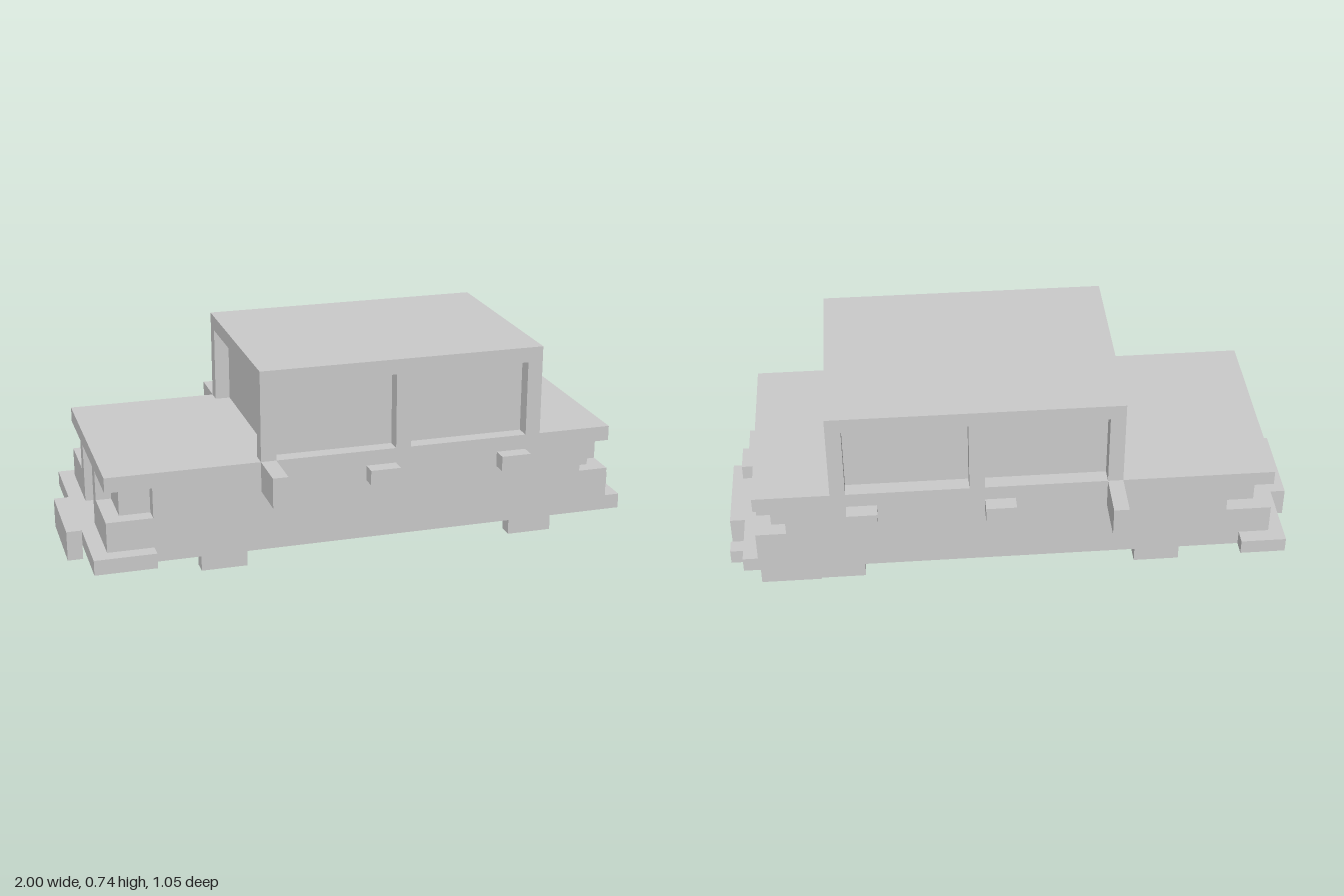
import * as THREE from 'three';

const U = 2 / 38; // one block unit

export function createModel() {
  const model = new THREE.Group();
  model.name = 'blockCar';
  const material = new THREE.MeshStandardMaterial({ color: 0xcccccc, flatShading: true });

  const add = (name, geometry) => {
    const mesh = new THREE.Mesh(geometry, material);
    mesh.name = name;
    model.add(mesh);
    return mesh;
  };

  // Box given by its limits in block units
  const box = (name, x0, x1, y0, y1, z0, z1) => {
    const g = new THREE.BoxGeometry((x1 - x0) * U, (y1 - y0) * U, (z1 - z0) * U);
    g.translate((x0 + x1) / 2 * U, (y0 + y1) / 2 * U, (z0 + z1) / 2 * U);
    return add(name, g);
  };

  // Same box on both sides of the car
  const pair = (name, x0, x1, y0, y1, z0, z1) => {
    box(name + 'Left', x0, x1, y0, y1, z0, z1);
    box(name + 'Right', x0, x1, y0, y1, -z1, -z0);
  };

  // Layer with a plan outline (x, z) mirrored across z = 0
  const layer = (name, half, y0, y1) => {
    const other = half.map(([x, z]) => [x, -z]).reverse();
    const points = [...half, ...other].map(([x, z]) => new THREE.Vector2(x * U, z * U));
    const g = new THREE.ExtrudeGeometry(new THREE.Shape(points), { depth: (y1 - y0) * U, bevelEnabled: false });
    g.rotateX(Math.PI / 2);
    g.translate(0, y1 * U, 0);
    return add(name, g);
  };

  // Body: floor, grille layer, lamp layer with corner notches, top deck
  box('bodyFloor', -17, 17, 2, 3, -7, 7);
  layer('lowerBody', [[-16, 2], [-17, 2], [-17, 7], [17, 7]], 3, 5);
  layer('lampBody', [
    [-16, 2], [-17, 2], [-17, 3], [-14, 3], [-14, 7],
    [15, 7], [15, 5], [17, 5], [17, 4], [16, 4], [16, 3], [17, 3],
  ], 5, 7);
  box('bodyDeck', -17, 17, 7, 8, -7, 7);

  // Lamps set back inside the notches
  pair('headlamp', -16, -14, 5, 7, 3, 6);
  pair('tailLamp', 15, 16, 5, 7, 5, 6);

  // Cabin: recessed glass, pillars and roof
  box('cabinGlass', -6, 11, 8, 13, -6, 6);
  for (const [x0, x1] of [[-7, -6], [2, 3], [11, 12]]) pair('pillar', x0, x1, 8, 13, 6, 7);
  box('roof', -7, 12, 13, 14, -7, 7);

  // Mirrors and door handles
  pair('mirror', -7, -6, 6, 8, 7, 10);
  for (const x of [0, 9]) pair('doorHandle', x, x + 2, 6, 7, 7, 8);

  // Bumpers, the front one wrapping around the sides
  box('frontBumper', -18, -17, 2, 3, -8, 8);
  box('bumperWrapLeft', -17, -14, 2, 3, 7, 8);
  box('bumperWrapRight', -17, -15, 2, 3, -8, -7);
  box('frontBumperCentre', -19, -18, 1, 3, -3, 3);
  box('rearBumper', 17, 18, 2, 3, -7, 7);
  box('rearBumperCentre', 18, 19, 1, 3, -3, 3);
  box('rearPlate', 17, 18, 5, 6, -1, 1);

  // Axles with hub blocks at both ends
  for (const x of [-11, 10]) {
    box('axle', x + 1, x + 2, 1, 2, -6, 6);
    pair('hub', x, x + 3, 1, 2, 6, 7);
  }

  // Exhaust
  box('muffler', 13, 17, 0, 2, -6, -3);
  box('tailpipe', 17, 19, 1, 2, -5, -4);

  return model;
}
